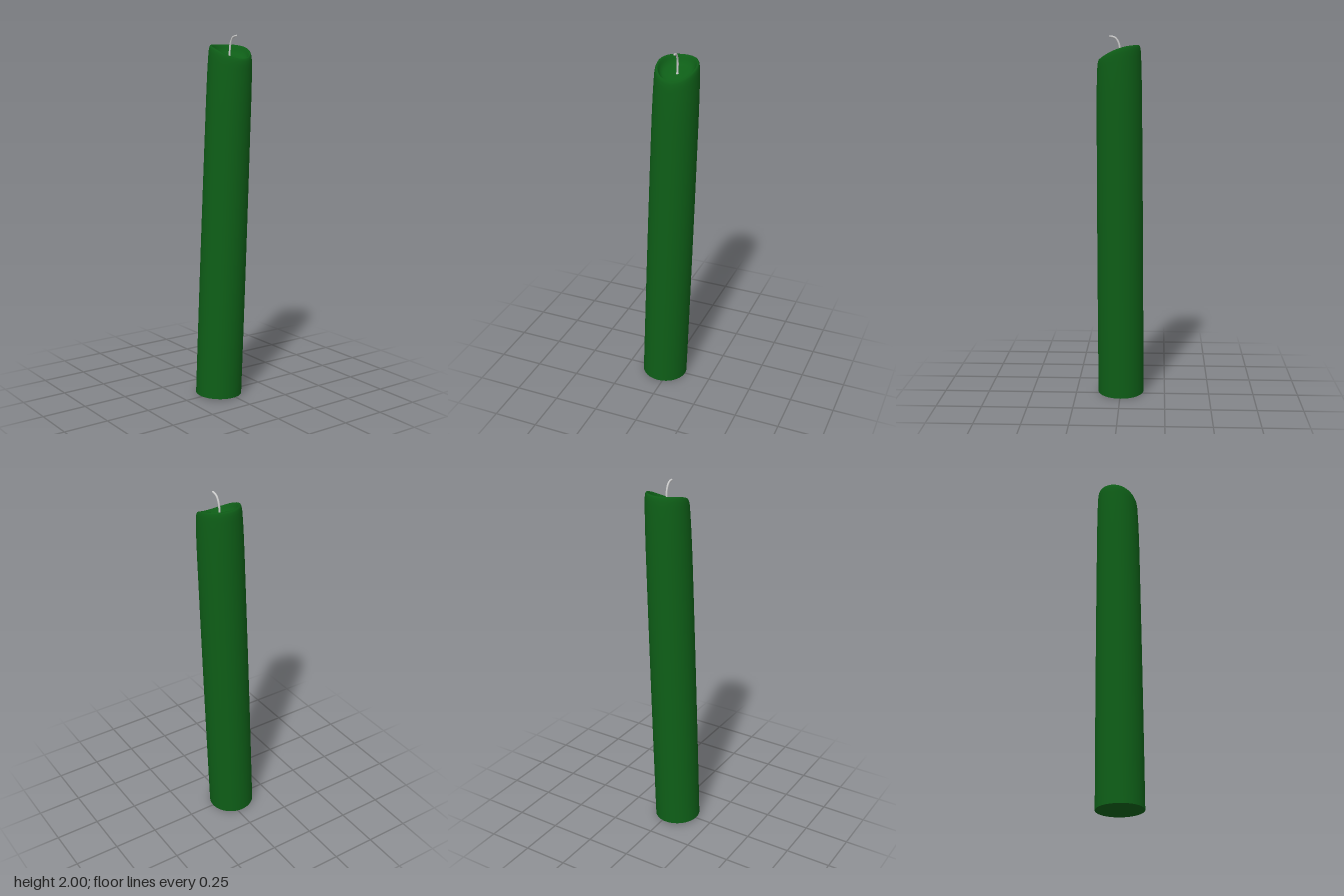
import * as THREE from 'three';
import { mergeVertices } from 'three/addons/utils/BufferGeometryUtils.js';

// Moves the upright body into its lean, and slants the top end down towards +x
function shape(geometry) {
  const p = geometry.attributes.position;
  for (let i = 0; i < p.count; i++) {
    const x = p.getX(i), y = p.getY(i), z = p.getZ(i);
    const w = THREE.MathUtils.smoothstep(y, 1.5, 1.87);
    const t = y / 1.925;
    p.setXYZ(i,
      x - 0.002 + 0.008 * t,
      y + 0.007 + 0.05 * (z / 1.6) - w * (0.35 * x + 1.7 * x * x + 0.03 * z),
      z + 0.031 - 0.074 * t);
  }
  geometry.deleteAttribute('uv');
  geometry.deleteAttribute('normal');
  const merged = mergeVertices(geometry, 1e-5);
  merged.computeVertexNormals();
  return merged;
}

export function createModel() {
  const group = new THREE.Group();
  const wax = new THREE.MeshStandardMaterial({ color: 0x0e5e17, side: THREE.DoubleSide });
  const grey = new THREE.MeshStandardMaterial({ color: 0xcccccc });

  // Wax column: tapered side, rounded rim, shallow melted bowl
  const profile = [[0.128, 0]];
  for (let i = 1; i <= 15; i++) profile.push([0.128 - 0.006 * (i / 15) ** 2, i * 0.11]);
  profile.push(
    [0.121, 1.72], [0.12, 1.78], [0.1185, 1.83], [0.117, 1.87], [0.1155, 1.895],
    [0.1125, 1.913], [0.108, 1.922], [0.103, 1.923], [0.098, 1.916], [0.093, 1.904],
    [0.086, 1.891], [0.074, 1.88], [0.055, 1.873], [0.03, 1.87], [0, 1.869]);
  const body = new THREE.LatheGeometry(profile.map(([r, y]) => new THREE.Vector2(r, y)), 64);
  const candle = new THREE.Mesh(shape(body), wax);
  candle.name = 'candleBody';

  // Flat underside
  const disc = new THREE.CircleGeometry(0.128, 64).rotateX(Math.PI / 2);
  const base = new THREE.Mesh(shape(disc), wax);
  base.name = 'candleBase';

  // Curled wick, with a closed tip and a small flare at the foot
  const path = new THREE.CatmullRomCurve3([
    [0, 1.862, -0.041], [0, 1.9, -0.042], [0.001, 1.93, -0.043],
    [0.007, 1.958, -0.044], [0.022, 1.983, -0.045], [0.038, 1.991, -0.046], [0.053, 1.994, -0.046],
  ].map((a) => new THREE.Vector3(...a)));
  const wick = new THREE.Mesh(new THREE.TubeGeometry(path, 28, 0.0055, 10), grey);
  wick.name = 'wick';
  const tip = new THREE.Mesh(new THREE.SphereGeometry(0.0055, 10, 8), grey);
  tip.position.copy(path.getPoint(1));
  tip.name = 'wickTip';
  const foot = new THREE.Mesh(new THREE.CylinderGeometry(0.0055, 0.01, 0.02, 10), grey);
  foot.position.set(0, 1.876, -0.0415);
  foot.name = 'wickFoot';

  group.add(candle, base, wick, tip, foot);
  return group;
}
